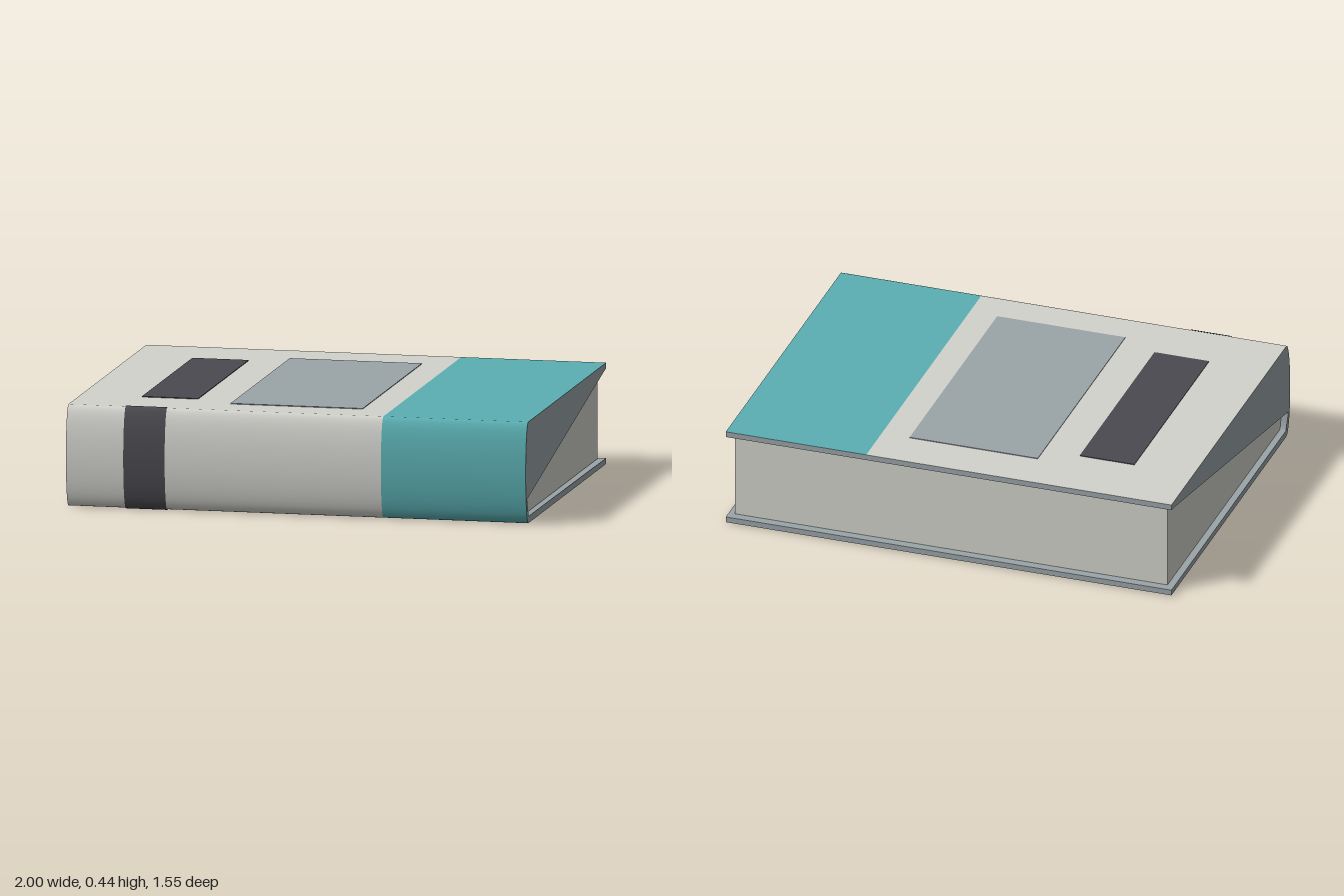
import * as THREE from 'three';

const mat = (name, color, side = THREE.FrontSide) => {
  const m = new THREE.MeshStandardMaterial({ color, side });
  m.name = name;
  return m;
};

const MID = 0.222, BACK = -0.773;

// Points [z, y] of the rounded spine, from its top to its bottom
function spine(grow) {
  const pts = [];
  for (let i = 0; i <= 20; i++) {
    const a = Math.PI / 2 - (Math.PI * i) / 20;
    pts.push([0.723 + (0.05 + grow) * Math.cos(a), MID + (0.218 + grow) * Math.sin(a)]);
  }
  return pts;
}

// Cover profile: back edge, over the top, round the spine and back underneath
const wrap = (grow, backTop, backBottom) => [
  [backTop, MID + 0.218 + grow], ...spine(grow), [backBottom, MID - 0.218 - grow],
];

// Sheet swept along x, from x0 to x1
function sheet(pts, x0, x1) {
  const g = new THREE.PlaneGeometry(1, 1, 1, pts.length - 1);
  const p = g.attributes.position;
  for (let i = 0; i < p.count; i++) {
    const [z, y] = pts[Math.floor(i / 2)];
    p.setXYZ(i, i % 2 ? x1 : x0, y, z);
  }
  g.computeVertexNormals();
  return g;
}

// Flat shape drawn in z and y, turned to lie across x
const profileShape = (pts) => new THREE.Shape(pts.map(([z, y]) => new THREE.Vector2(-z, y)));

export function createModel() {
  const group = new THREE.Group();
  const cover = mat('cover grey', 0xd3d3ce, THREE.DoubleSide);
  const teal = mat('teal', 0x5bafb3, THREE.DoubleSide);
  const dark = mat('dark label', 0x4b4a50, THREE.DoubleSide);
  const lining = mat('blue grey', 0x9ba4a8, THREE.DoubleSide);
  const paper = mat('paper', 0xd2d2cc);

  const add = (name, geometry, material) => {
    const mesh = new THREE.Mesh(geometry, material);
    mesh.name = name;
    group.add(mesh);
    return mesh;
  };

  // Outer cover in two colours
  const outer = wrap(0, BACK, BACK);
  add('coverMain', sheet(outer, -1, 0.37), cover);
  add('coverBand', sheet(outer, 0.37, 1), teal);

  // Inner face and back edges of the cover boards
  add('coverLining', sheet(wrap(-0.025, BACK, BACK), -1, 1), lining);
  for (const [name, y] of [['topBoardEdge', MID + 0.2055], ['bottomBoardEdge', MID - 0.2055]]) {
    const edge = add(name, new THREE.PlaneGeometry(2, 0.025), lining);
    edge.rotation.y = Math.PI;
    edge.position.set(0, y, BACK);
  }

  // End flaps: slanted edge under the top board, thin rim at spine and base
  const flap = profileShape([
    ...outer, [BACK, 0.029], [0.715, 0.034], [0.75, 0.11], [-0.74, 0.411], [BACK, 0.415],
  ]);
  for (const side of [-1, 1]) {
    const end = add(side > 0 ? 'leftEndFlap' : 'rightEndFlap', new THREE.ShapeGeometry(flap), lining);
    end.rotation.y = Math.PI / 2;
    end.position.x = side;
  }

  // Page block, rounded into the spine
  const pages = add('pages', new THREE.ExtrudeGeometry(
    profileShape(wrap(-0.027, -0.737, -0.737)), { depth: 1.94, bevelEnabled: false }), paper);
  pages.rotation.y = Math.PI / 2;
  pages.position.x = -0.97;

  // Painted panels on the top board
  const panel = (name, x0, x1, z0, z1, material) => {
    const mesh = add(name, new THREE.BoxGeometry(x1 - x0, 0.004, z1 - z0), material);
    mesh.position.set((x0 + x1) / 2, MID + 0.219, (z0 + z1) / 2);
  };
  panel('titlePanel', -0.735, -0.49, -0.487, 0.485, dark);
  panel('picturePanel', -0.33, 0.245, -0.57, 0.57, lining);

  // Dark label around the spine, ending on the underside
  add('spineLabel', sheet(wrap(0.003, 0.722, 0.6), -0.75, -0.57), dark);

  return group;
}
